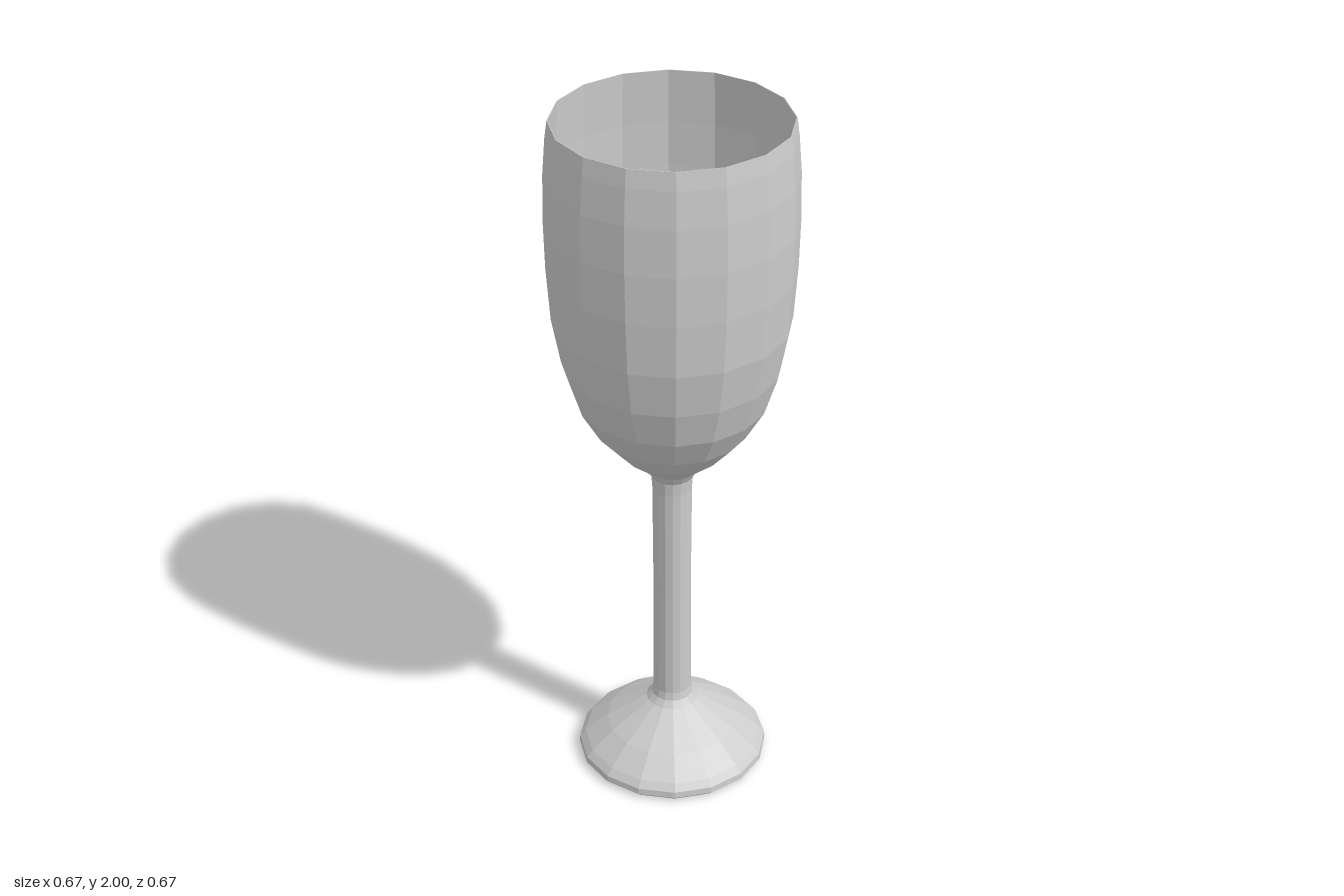
import * as THREE from 'three';

const SIDES = 16;

export function createModel() {
  const group = new THREE.Group();
  const glass = new THREE.MeshStandardMaterial({ color: 0xcccccc, flatShading: true });
  glass.name = 'pale grey glass';

  // Each part is a faceted lathe; profiles are [radius, height] pairs
  function turned(name, profile) {
    const points = profile.map(([r, y]) => new THREE.Vector2(r, y));
    const mesh = new THREE.Mesh(new THREE.LatheGeometry(points, SIDES), glass);
    mesh.name = name;
    group.add(mesh);
  }

  // Flat underside, rounded lip, then a sloping top
  turned('foot', [
    [0, 0], [0.262, 0], [0.274, 0.012], [0.272, 0.03], [0.255, 0.05],
    [0.19, 0.103], [0.125, 0.145], [0.075, 0.178], [0.06, 0.197], [0.055, 0.22],
  ]);

  turned('stem', [[0.055, 0.22], [0.053, 0.56], [0.055, 0.9]]);

  // Outer wall up to the thin rim, then inner wall down to the rounded bottom
  turned('bowl', [
    [0.055, 0.9], [0.058, 0.94], [0.072, 0.965], [0.1, 0.99], [0.148, 1.03],
    [0.21, 1.1], [0.262, 1.19], [0.297, 1.3], [0.321, 1.43], [0.331, 1.58],
    [0.334, 1.72], [0.331, 1.85], [0.323, 1.95], [0.316, 2.0],
    [0.314, 2.0], [0.322, 1.85], [0.325, 1.72], [0.322, 1.58], [0.311, 1.43],
    [0.275, 1.27], [0.23, 1.165], [0.18, 1.095], [0.135, 1.052],
    [0.085, 1.02], [0.042, 1.003], [0, 0.998],
  ]);

  return group;
}
